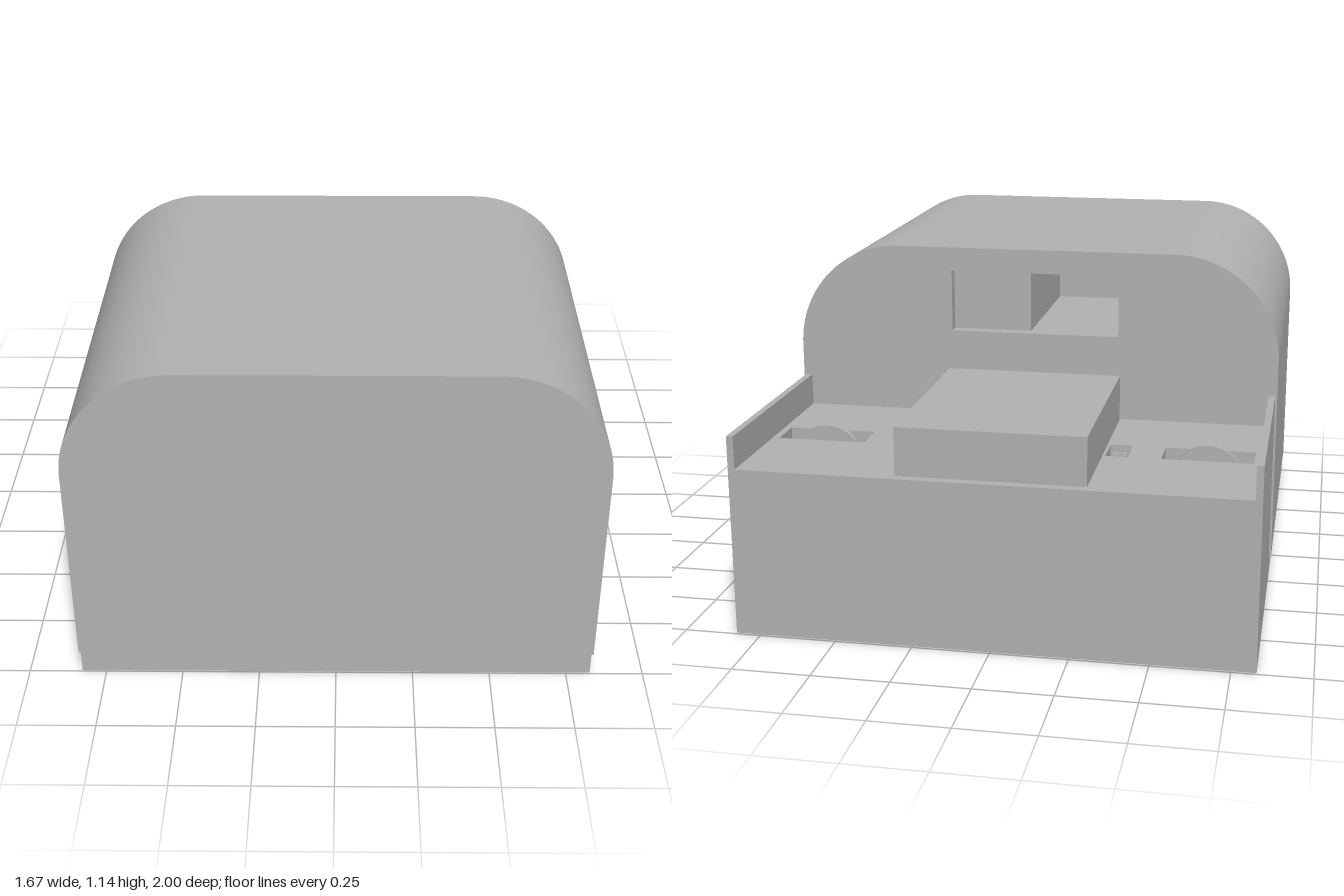
import * as THREE from 'three';
import { toCreasedNormals } from 'three/addons/utils/BufferGeometryUtils.js';

export function createModel() {
  const model = new THREE.Group();
  const grey = new THREE.MeshStandardMaterial({ color: 0xb3b3b3 });
  grey.name = 'grey plastic';
  const pale = new THREE.MeshStandardMaterial({ color: 0xf5f5f5 });
  pale.name = 'pale screw';

  const add = (name, geometry, material = grey) => {
    const mesh = new THREE.Mesh(geometry, material);
    mesh.name = name;
    model.add(mesh);
    return mesh;
  };
  // Box given by its limits on each axis
  const box = (name, x0, x1, y0, y1, z0, z1) => {
    const mesh = add(name, new THREE.BoxGeometry(x1 - x0, y1 - y0, z1 - z0));
    mesh.position.set((x0 + x1) / 2, (y0 + y1) / 2, (z0 + z1) / 2);
    return mesh;
  };
  const rect = (x0, x1, y0, y1, Type = THREE.Path) => {
    const p = new Type();
    p.moveTo(x0, y0);
    p.lineTo(x1, y0);
    p.lineTo(x1, y1);
    p.lineTo(x0, y1);
    p.closePath();
    return p;
  };

  const bottom = 0.004, deckY = 0.555, pocketY = 0.505, half = 0.828, seamZ = -0.23;

  // Base: low tray under the cover, higher block behind it
  box('baseFront', -half, half, bottom, 0.085, seamZ, 1);
  box('baseRear', -half, half, bottom, pocketY, -1, seamZ);

  // Deck plate with pockets for the wheels (shape y becomes -z)
  const deck = rect(-half, half, -seamZ, 1, THREE.Shape);
  for (const s of [-1, 1]) {
    const span = (a, b) => (s > 0 ? [a, b] : [-b, -a]);
    deck.holes.push(rect(...span(0.49, 0.783), 0.53, 0.652));
    deck.holes.push(rect(...span(0.31, 0.383), 0.53, 0.652));
  }
  const deckGeo = new THREE.ExtrudeGeometry(deck, { depth: deckY - pocketY, bevelEnabled: false });
  deckGeo.rotateX(-Math.PI / 2);
  add('deck', deckGeo).position.y = pocketY;

  // Raised block on the deck
  box('raisedBlock', -0.3, 0.3, deckY, 0.712, -0.968, -0.243);

  // Side walls and wheels, mirrored
  for (const s of [-1, 1]) {
    const wall = box('sideWall', 0.806, half, deckY, 0.663, -1, seamZ);
    wall.position.x *= s;
    for (const [name, r, w, y, z] of [['thumbWheel', 0.11, 0.02, 0.475, -0.575], ['wheelHub', 0.075, 0.012, 0.47, -0.537]]) {
      const wheel = add(name, new THREE.CylinderGeometry(r, r, w, 48).rotateX(Math.PI / 2));
      wheel.position.set(s * 0.636, y, z);
    }
    // Ribbed roller
    for (let i = 0; i < 6; i++) {
      const rib = box('rollerRib', 0.32, 0.373, pocketY, 0.535 + 0.01 * Math.sin((i + 0.5) / 6 * Math.PI), -0.61 + i * 0.009, -0.604 + i * 0.009);
      rib.position.x *= s;
    }
  }

  // Rounded cover, cut into three slices to form the viewing window
  const arch = () => {
    const w = 0.835, top = 1.136, rx = 0.355, ry = 0.36;
    const p = new THREE.Shape();
    p.moveTo(-w, 0.08);
    p.lineTo(w, 0.08);
    p.lineTo(w, top - ry);
    p.absellipse(w - rx, top - ry, rx, ry, 0, Math.PI / 2, false, 0);
    p.lineTo(-(w - rx), top);
    p.absellipse(-(w - rx), top - ry, rx, ry, Math.PI / 2, Math.PI, false, 0);
    p.closePath();
    return p;
  };
  const slices = [
    ['coverWindowWall', seamZ, -0.19, [-0.29, 0.29]],
    ['coverMiddle', -0.19, 0.4, [-0.29, 0.02]],
    ['coverFront', 0.4, 1, null],
  ];
  for (const [name, z0, z1, opening] of slices) {
    const shape = arch();
    if (opening) shape.holes.push(rect(opening[0], opening[1], 0.845, 1.055));
    const geo = new THREE.ExtrudeGeometry(shape, { depth: z1 - z0, bevelEnabled: false, curveSegments: 24 });
    add(name, toCreasedNormals(geo, 0.4)).position.z = z0;
  }

  // Thin plates on the underside
  box('bottomPlate', -0.68, 0.68, 0, bottom, -0.14, 0.33);
  box('bottomHatch', -0.69, -0.115, 0, bottom, 0.44, 0.885);

  // Screw heads on the underside
  for (const [x, z] of [[0.757, -0.135], [0.757, -0.3], [0.603, -0.565], [0.395, -0.62], [0.755, 0.905]]) {
    for (const s of [-1, 1]) {
      const screw = add('screw', new THREE.CylinderGeometry(0.022, 0.022, 0.003, 20), pale);
      screw.position.set(s * x, bottom - 0.0015, z);
    }
  }
  return model;
}
